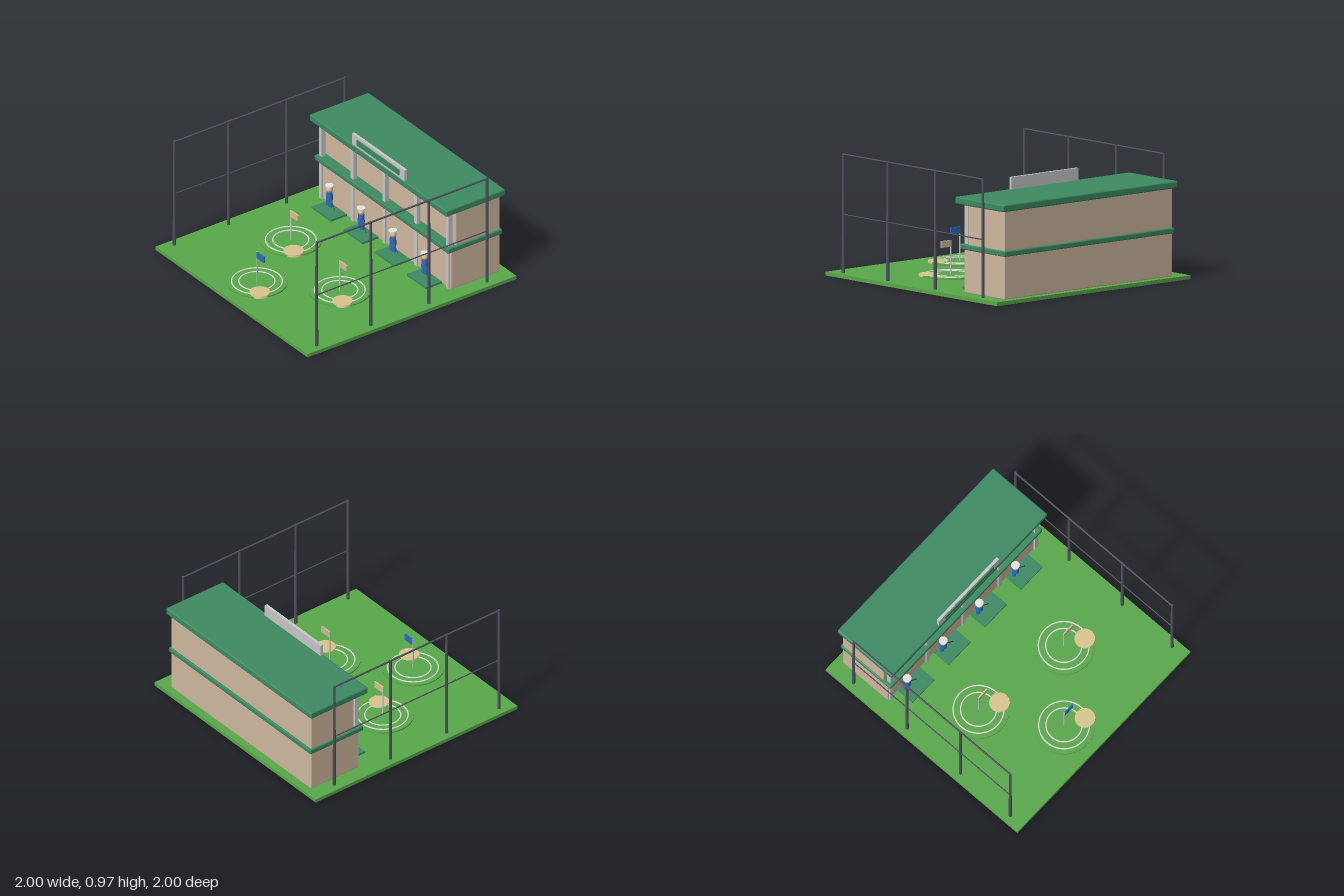
import * as THREE from 'three';
import { RoundedBoxGeometry } from 'three/addons/geometries/RoundedBoxGeometry.js';

const material = (name, color) => {
  const m = new THREE.MeshStandardMaterial({ color });
  m.name = name;
  return m;
};

export function createModel() {
  const grass = material('grass green', 0x5aa84c);
  const trim = material('roof green', 0x3d8a62);
  const plaster = material('tan plaster', 0xd0b99f);
  const grey = material('light grey', 0xc8c8c8);
  const white = material('white', 0xe6e6e2);
  const slate = material('dark slate', 0x51515f);
  const blue = material('blue', 0x2c6cbc);
  const sand = material('sand', 0xd8c590);
  const skin = material('skin', 0xd9b48c);

  const model = new THREE.Group();
  model.name = 'drivingRange';

  const add = (parent, name, geometry, mat, x = 0, y = 0, z = 0) => {
    const mesh = new THREE.Mesh(geometry, mat);
    mesh.name = name;
    mesh.position.set(x, y, z);
    parent.add(mesh);
    return mesh;
  };
  const group = (name, x, y, z) => {
    const g = new THREE.Group();
    g.name = name;
    g.position.set(x, y, z);
    model.add(g);
    return g;
  };
  // Box given by its limits; a radius rounds the edges
  const block = (parent, name, mat, [x0, x1], [y0, y1], [z0, z1], radius = 0) => {
    const size = [x1 - x0, y1 - y0, z1 - z0];
    const geo = radius ? new RoundedBoxGeometry(...size, 2, radius) : new THREE.BoxGeometry(...size);
    return add(parent, name, geo, mat, (x0 + x1) / 2, (y0 + y1) / 2, (z0 + z1) / 2);
  };
  // Round bar between two points
  const bar = (parent, name, mat, a, b, radius) => {
    const from = new THREE.Vector3(...a), to = new THREE.Vector3(...b);
    const dir = to.clone().sub(from);
    const mesh = add(parent, name, new THREE.CylinderGeometry(radius, radius, dir.length(), 8), mat);
    mesh.position.copy(from).add(to).multiplyScalar(0.5);
    mesh.quaternion.setFromUnitVectors(new THREE.Vector3(0, 1, 0), dir.normalize());
    return mesh;
  };

  // Ground
  block(model, 'ground', grass, [-1, 1], [0, 0.03], [-1, 1]);

  // Two-storey clubhouse
  const house = group('clubhouse', 0, 0, 0);
  block(house, 'lowerFloor', plaster, [-0.868, 0.868], [0.028, 0.372], [-0.94, -0.47], 0.008);
  block(house, 'balconySlab', trim, [-0.88, 0.88], [0.366, 0.41], [-0.955, -0.432], 0.01);
  block(house, 'upperFloor', plaster, [-0.868, 0.868], [0.404, 0.726], [-0.94, -0.515], 0.008);
  block(house, 'roof', trim, [-0.902, 0.902], [0.72, 0.777], [-0.967, -0.4], 0.012);
  for (let i = -2; i <= 2; i++) {
    const x = i * 0.4175;
    block(house, 'column', grey, [x - 0.018, x + 0.018], [0.03, 0.722], [-0.494, -0.457]);
  }

  // Blank sign on the roof edge
  block(house, 'signBoard', grey, [-0.346, 0.346], [0.772, 0.873], [-0.43, -0.406]);
  block(house, 'signPanel', trim, [-0.278, 0.278], [0.8, 0.849], [-0.407, -0.398]);

  // Tee bays, each with a mat and a golfer
  for (let i = 0; i < 4; i++) {
    const bay = group('teeBay', -0.627 + i * 0.4175, 0.03, 0);
    block(bay, 'mat', trim, [-0.126, 0.126], [0, 0.016], [-0.468, -0.315]);
    const golfer = new THREE.Group();
    golfer.name = 'golfer';
    golfer.position.set(-0.057, 0.016, -0.435);
    bay.add(golfer);
    for (const s of [-1, 1]) {
      add(golfer, 'leg', new THREE.CylinderGeometry(0.015, 0.017, 0.07, 10), blue, s * 0.016, 0.035, 0);
    }
    add(golfer, 'torso', new THREE.CylinderGeometry(0.024, 0.029, 0.07, 14), blue, 0, 0.092, 0);
    add(golfer, 'head', new THREE.SphereGeometry(0.027, 14, 10), skin, 0, 0.146, 0);
    add(golfer, 'hatCrown', new THREE.CylinderGeometry(0.02, 0.024, 0.016, 14), grey, 0, 0.17, 0);
    add(golfer, 'hatBrim', new THREE.CylinderGeometry(0.034, 0.034, 0.007, 16), white, 0, 0.181, 0);
    bar(golfer, 'club', slate, [0.022, 0.09, 0.008], [0.09, 0.005, 0.015], 0.004);
  }

  // Target greens with rings, bunker and flag
  const targets = [[-0.453, 0.102, sand], [0.38, 0.24, plaster], [-0.105, 0.68, blue]];
  for (const [x, z, flagColour] of targets) {
    const target = group('target', x, 0.03, z);
    add(target, 'green', new THREE.CylinderGeometry(0.24, 0.24, 0.01, 48), grass, 0, 0.005, 0);
    for (const r of [0.197, 0.14]) {
      const ring = add(target, 'ring', new THREE.TorusGeometry(r, 0.006, 6, 48), white, 0, 0.01, 0);
      ring.rotation.x = Math.PI / 2;
    }
    add(target, 'bunker', new THREE.CylinderGeometry(0.08, 0.084, 0.018, 20), sand, 0.15, 0.009, 0.083);
    bar(target, 'flagPole', grey, [0, 0.005, 0], [0, 0.275, 0], 0.006);
    block(target, 'flag', flagColour, [0.002, 0.098], [0.222, 0.275], [-0.006, 0.006]);
  }

  // Fence frames along both sides
  const posts = [0.867, 0.348, -0.208, -0.765];
  for (const s of [-1, 1]) {
    const fence = group(s > 0 ? 'leftFence' : 'rightFence', s * 0.936, 0, 0);
    for (const z of posts) {
      add(fence, 'post', new THREE.CylinderGeometry(0.01, 0.013, 0.937, 10), slate, 0, 0.4985, z);
    }
    bar(fence, 'topRail', slate, [0, 0.96, 0.867], [0, 0.96, -0.765], 0.0075);
    bar(fence, 'middleRail', slate, [0, 0.488, 0.867], [0, 0.488, -0.765], 0.005);
  }

  return model;
}
